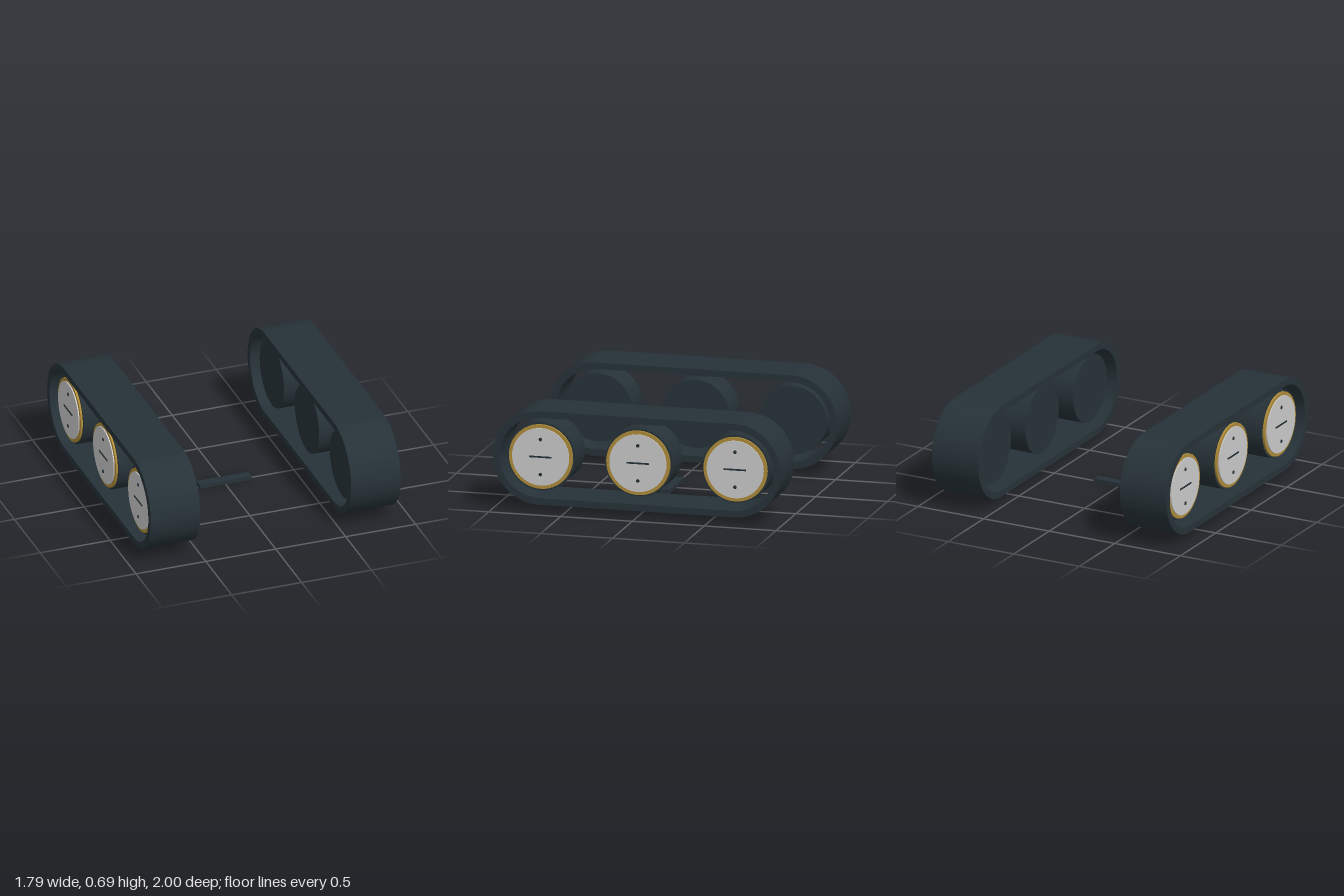
import * as THREE from 'three';

const dark = new THREE.MeshStandardMaterial({ color: 0x263238 });
const gold = new THREE.MeshStandardMaterial({ color: 0xb08d3a });
const grey = new THREE.MeshStandardMaterial({ color: 0xcccccc });

const AXLE_Y = 0.368, WHEEL_Z = 0.677, TRACK_X = 0.717, TRACK_W = 0.355;

function add(parent, name, geometry, material, x = 0, y = 0, z = 0) {
  const mesh = new THREE.Mesh(geometry, material);
  mesh.name = name;
  mesh.position.set(x, y, z);
  parent.add(mesh);
  return mesh;
}

// Cylinder lying along x, spanning x0 to x1
function disc(parent, name, radius, x0, x1, material, y = 0, z = 0, sides = 48) {
  const geometry = new THREE.CylinderGeometry(radius, radius, x1 - x0, sides).rotateZ(-Math.PI / 2);
  return add(parent, name, geometry, material, (x0 + x1) / 2, y, z);
}

// Stadium outline: two half circles joined by straight runs
function stadium(path, r) {
  path.absarc(WHEEL_Z, 0, r, -Math.PI / 2, Math.PI / 2, false);
  path.absarc(-WHEEL_Z, 0, r, Math.PI / 2, Math.PI * 1.5, false);
  path.closePath();
  return path;
}

// Hollow track loop
function trackBelt() {
  const shape = stadium(new THREE.Shape(), 0.323);
  shape.holes.push(stadium(new THREE.Path(), 0.277));
  return new THREE.ExtrudeGeometry(shape, { depth: TRACK_W, bevelEnabled: false, curveSegments: 24 })
    .translate(0, 0, -TRACK_W / 2)
    .rotateY(Math.PI / 2);
}

// Drum with a gold rim and a grey hub cap on its +x end
function wheel() {
  const group = new THREE.Group();
  group.name = 'wheel';
  disc(group, 'drum', 0.235, -0.124, 0.124, dark);
  disc(group, 'rim', 0.222, 0.11, 0.138, gold);
  disc(group, 'hubCap', 0.198, 0.12, 0.146, grey);
  add(group, 'slot', new THREE.BoxGeometry(0.01, 0.011, 0.155), dark, 0.145, 0, 0);
  for (const y of [-0.121, 0.121]) disc(group, 'bolt', 0.012, 0.14, 0.15, dark, y, 0, 16);
  return group;
}

function trackUnit(name) {
  const group = new THREE.Group();
  group.name = name;
  add(group, 'trackBelt', trackBelt(), dark);
  for (const z of [-WHEEL_Z, 0, WHEEL_Z]) {
    const w = wheel();
    w.position.z = z;
    group.add(w);
  }
  return group;
}

export function createModel() {
  const model = new THREE.Group();
  model.name = 'trackAssembly';

  // Track units, hub caps facing outward
  const left = trackUnit('leftTrack');
  left.position.set(TRACK_X, AXLE_Y, 0);
  const right = trackUnit('rightTrack');
  right.position.set(-TRACK_X, AXLE_Y, 0);
  right.rotation.y = Math.PI;
  model.add(left, right);

  // Small cross bar between the tracks
  add(model, 'crossBar', new THREE.BoxGeometry(0.37, 0.028, 0.064), dark, 0, 0.014, 0);
  return model;
}
